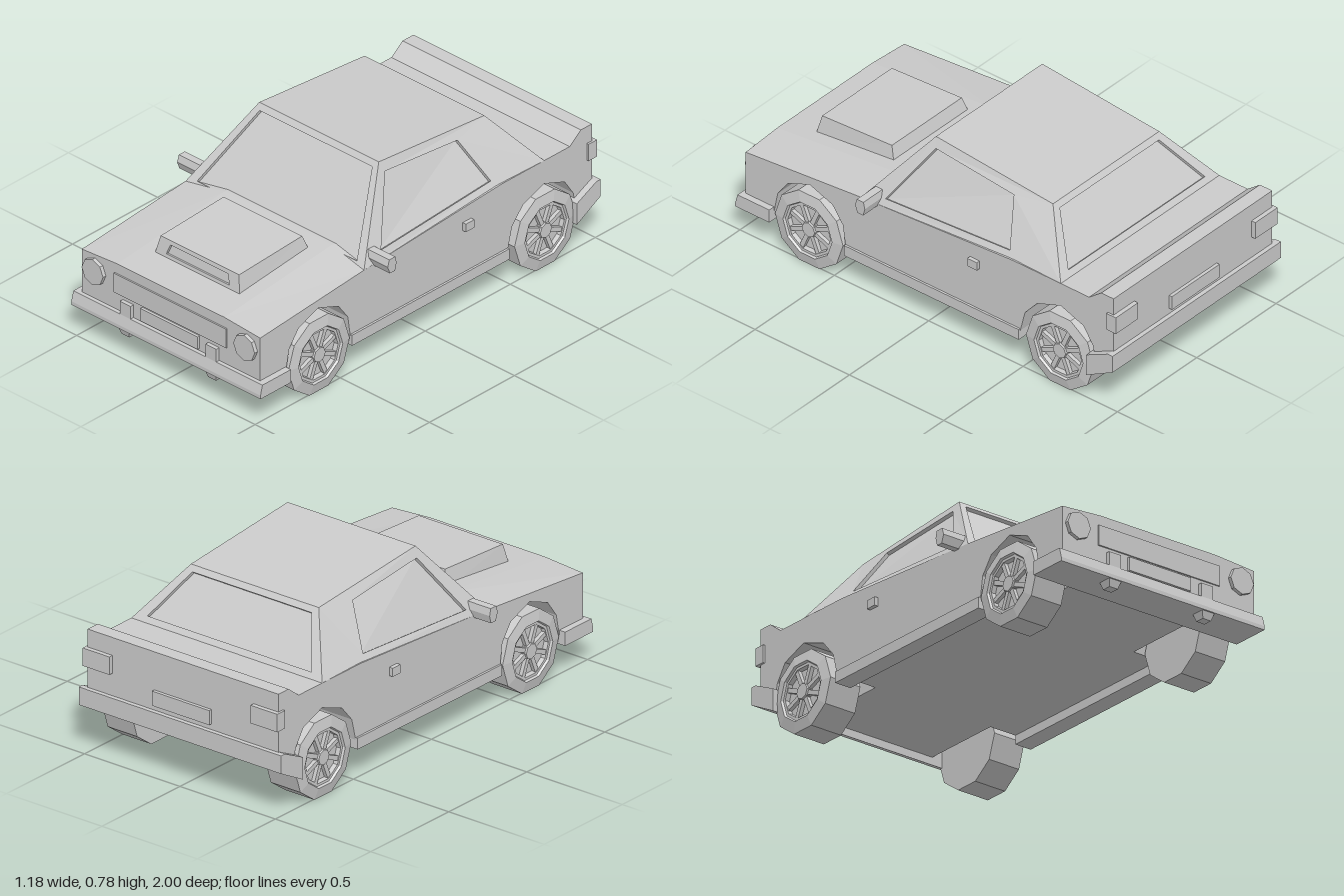
import * as THREE from 'three';

const mat = new THREE.MeshStandardMaterial({ color: 0xcccccc, flatShading: true });

export function createModel() {
  const car = new THREE.Group();
  car.name = 'car';

  const add = (name, geo, parent = car) => {
    const m = new THREE.Mesh(geo, mat);
    m.name = name;
    parent.add(m);
    return m;
  };

  // Box given by its min and max along each axis
  const box = (name, x0, x1, y0, y1, z0, z1) =>
    add(name, new THREE.BoxGeometry(x1 - x0, y1 - y0, z1 - z0)
      .translate((x0 + x1) / 2, (y0 + y1) / 2, (z0 + z1) / 2));

  // Same box on both sides of the car
  const boxPair = (name, x0, x1, ...rest) => {
    box(name + 'Left', x0, x1, ...rest);
    box(name + 'Right', -x1, -x0, ...rest);
  };

  // Side profile of [z, y] points stretched from x0 to x1
  const slab = (pts, x0, x1) => new THREE.ExtrudeGeometry(
    new THREE.Shape(pts.map(p => new THREE.Vector2(...p))),
    { depth: x1 - x0, bevelEnabled: false }
  ).rotateY(-Math.PI / 2).translate(x1, 0, 0);

  // Panel a,b,c,d (counter-clockwise from outside), optionally with a recessed opening
  const panel = (name, corners, uv, depth = 0.015) => {
    const [a, b, c, d] = corners.map(p => new THREE.Vector3(...p));
    const pos = [];
    const quad = (p, q, r, s) => [p, q, r, p, r, s].forEach(v => pos.push(v.x, v.y, v.z));
    if (!uv) quad(a, b, c, d);
    else {
      const inward = c.clone().sub(a).cross(d.clone().sub(b)).normalize().multiplyScalar(-depth);
      const outer = [a, b, c, d];
      const inner = uv.map(([u, v]) => a.clone().lerp(b, u).lerp(d.clone().lerp(c, u), v));
      const deep = inner.map(p => p.clone().add(inward));
      for (let i = 0; i < 4; i++) {
        const j = (i + 1) % 4;
        quad(outer[i], outer[j], inner[j], inner[i]);
        quad(inner[i], inner[j], deep[j], deep[i]);
      }
      quad(...deep);
    }
    const g = new THREE.BufferGeometry();
    g.setAttribute('position', new THREE.Float32BufferAttribute(pos, 3));
    g.computeVertexNormals();
    return add(name, g);
  };

  // Body: a middle slab and two side slabs with wheel arches
  const top = [[-0.98, 0.55], [-0.915, 0.55], [-0.85, 0.5], [-0.45, 0.5], [0.36, 0.45], [0.97, 0.398]];
  const frontArch = [[0.82, 0.17], [0.8, 0.27], [0.745, 0.345], [0.63, 0.39], [0.51, 0.345], [0.455, 0.27], [0.44, 0.17]];
  const rearArch = [[-0.485, 0.17], [-0.51, 0.27], [-0.575, 0.345], [-0.7, 0.39], [-0.82, 0.345], [-0.87, 0.27], [-0.885, 0.2]];
  // The hood rises towards the middle and meets the sloping windshield
  const crown = geo => {
    const p = geo.attributes.position;
    for (let i = 0; i < p.count; i++) {
      const y = p.getY(i), z = p.getZ(i);
      if (z < 0.3 || y < 0.395 || Math.abs(p.getX(i)) > 0.4) continue;
      const atCowl = z < 0.6;
      p.setY(i, y + (atCowl ? 0.026 : 0.014));
      if (atCowl) p.setZ(i, z - 0.021);
    }
    geo.computeVertexNormals();
    return geo;
  };
  const sideProfile = [[0.97, 0.17], ...frontArch, ...rearArch, [-0.98, 0.22], ...top];
  add('bodyCentre', crown(slab([[0.97, 0.17], [-0.86, 0.17], [-0.98, 0.22], ...top], -0.3, 0.3)));
  add('bodySideLeft', crown(slab(sideProfile, 0.3, 0.5)));
  add('bodySideRight', crown(slab(sideProfile, -0.5, -0.3)));
  boxPair('sill', 0.43, 0.51, 0.13, 0.18, -0.485, 0.44);

  // Cabin with recessed glass
  const frontLow = s => [s * 0.5, 0.45, 0.36], frontHigh = s => [s * 0.335, 0.78, 0.1];
  const rearLow = s => [s * 0.5, 0.5, -0.7], rearHigh = s => [s * 0.335, 0.725, -0.52];
  panel('windshield', [frontLow(-1), frontLow(1), frontHigh(1), frontHigh(-1)],
    [[0.045, 0.05], [0.955, 0.05], [0.955, 0.93], [0.045, 0.93]]);
  panel('rearWindow', [rearLow(1), rearLow(-1), rearHigh(-1), rearHigh(1)],
    [[0.055, 0.1], [0.945, 0.1], [0.945, 0.9], [0.055, 0.9]]);
  const glass = [[0.09, 0.1], [0.735, 0.14], [0.69, 0.84], [0.07, 0.88]];
  panel('sideWindowLeft', [frontLow(1), rearLow(1), rearHigh(1), frontHigh(1)], glass);
  panel('sideWindowRight', [rearLow(-1), frontLow(-1), frontHigh(-1), rearHigh(-1)],
    [1, 0, 3, 2].map(i => [1 - glass[i][0], glass[i][1]]));
  panel('roof', [frontHigh(-1), frontHigh(1), rearHigh(1), rearHigh(-1)]);

  // Hood scoop with a shallow slot in front
  const sfl = s => [s * 0.24, 0.405, 0.82], sfh = s => [s * 0.22, 0.505, 0.8];
  const srl = s => [s * 0.24, 0.44, 0.4], srh = s => [s * 0.22, 0.525, 0.43];
  panel('scoopFront', [sfl(-1), sfl(1), sfh(1), sfh(-1)],
    [[0.12, 0.38], [0.88, 0.38], [0.86, 0.82], [0.14, 0.82]], 0.012);
  panel('scoopTop', [sfh(-1), sfh(1), srh(1), srh(-1)]);
  panel('scoopBack', [srl(1), srl(-1), srh(-1), srh(1)]);
  panel('scoopSideLeft', [sfl(1), srl(1), srh(1), sfh(1)]);
  panel('scoopSideRight', [srl(-1), sfl(-1), sfh(-1), srh(-1)]);

  // Front end
  add('frontBumper', slab([[1, 0.133], [1, 0.15], [0.988, 0.195], [0.82, 0.195], [0.82, 0.133]], -0.53, 0.53));
  box('grille', -0.315, 0.315, 0.275, 0.365, 0.95, 0.977);
  box('frontPlate', -0.16, 0.16, 0.205, 0.265, 0.95, 0.982);
  boxPair('bumperGuard', 0.21, 0.27, 0.19, 0.255, 0.95, 0.988);
  for (const s of [-1, 1]) {
    add('headlight', new THREE.CylinderGeometry(0.06, 0.06, 0.04, 8)
      .rotateX(Math.PI / 2).translate(s * 0.425, 0.327, 0.967));
    // Square stub tapering downwards
    add('towHook', new THREE.CylinderGeometry(0.045, 0.03, 0.034, 4)
      .rotateY(Math.PI / 4).translate(s * 0.243, 0.118, 0.962));
  }

  // Rear end
  add('rearBumper', slab([[-0.86, 0.135], [-1, 0.21], [-1, 0.29], [-0.975, 0.29], [-0.86, 0.235]], -0.53, 0.53));
  boxPair('tailLight', 0.37, 0.51, 0.39, 0.47, -1, -0.95);
  box('rearPlate', -0.15, 0.15, 0.315, 0.38, -0.995, -0.96);

  // Six-sided mirrors and door handles
  const mirror = [[0.315, 0.482], [0.305, 0.513], [0.27, 0.513], [0.263, 0.482], [0.272, 0.447], [0.302, 0.447]];
  add('mirrorLeft', slab(mirror, 0.47, 0.59));
  add('mirrorRight', slab(mirror, -0.59, -0.47));
  boxPair('doorHandle', 0.49, 0.518, 0.38, 0.418, -0.27, -0.22);

  // Wheels: ten-sided tyre standing on a flat, recessed rim, hub and spokes
  const tyre = [[0, 0.35], [0.18, 0.35], [0.18, 0.505], [0.13, 0.515], [0.125, 0.505], [0.113, 0.505], [0.11, 0.485], [0, 0.485]]
    .map(p => new THREE.Vector2(...p));
  const makeWheel = (name, side, z) => {
    const wheel = new THREE.Group();
    wheel.name = name;
    add('tyre', new THREE.LatheGeometry(tyre, 10).rotateZ(-Math.PI / 2), wheel);
    add('hub', new THREE.CylinderGeometry(0.034, 0.04, 0.03, 8).rotateZ(-Math.PI / 2).translate(0.495, 0, 0), wheel);
    for (let i = 0; i < 8; i++)
      add('spoke', new THREE.BoxGeometry(0.02, 0.09, 0.02)
        .translate(0.492, 0.07, 0).rotateX((i + 0.5) * Math.PI / 4), wheel);
    wheel.position.set(0, 0.171, z);
    if (side < 0) wheel.rotation.y = Math.PI;
    car.add(wheel);
  };
  for (const [label, s] of [['Left', 1], ['Right', -1]]) {
    makeWheel('frontWheel' + label, s, 0.63);
    makeWheel('rearWheel' + label, s, -0.7);
  }
  return car;
}
